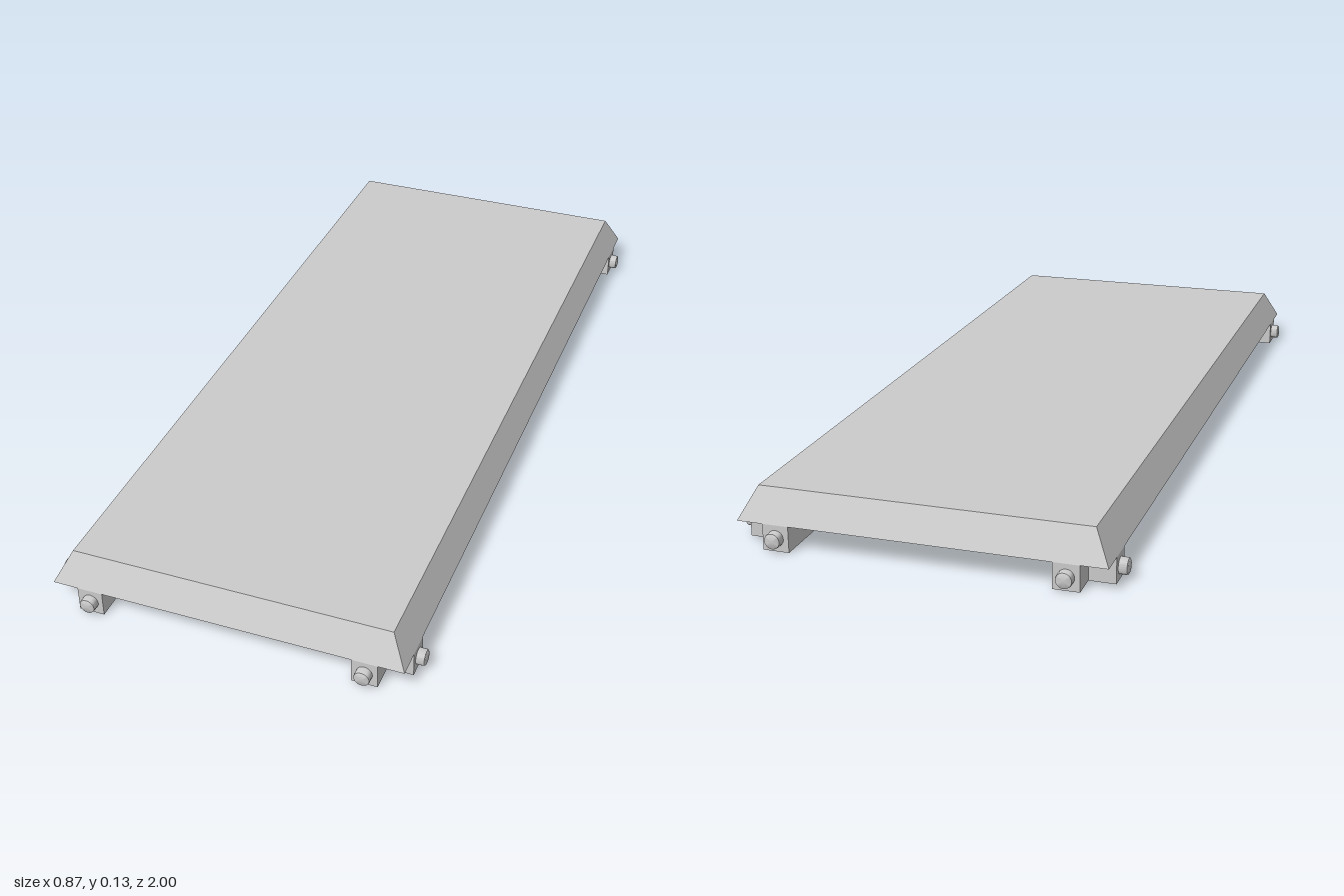
import * as THREE from 'three';
import { toCreasedNormals } from 'three/addons/utils/BufferGeometryUtils.js';

const flat = new THREE.MeshStandardMaterial({ color: 0xcccccc, flatShading: true });
const smooth = new THREE.MeshStandardMaterial({ color: 0xcccccc });

function part(name, geometry, material = flat) {
  const mesh = new THREE.Mesh(geometry, material);
  mesh.name = name;
  return mesh;
}

// Outline in x/z with cut corners; a cut of 0 gives a plain rectangle
function outline(y, x, z, cutX = 0, cutZ = 0) {
  const corners = cutX
    ? [[x, z - cutZ], [x, -z + cutZ], [x - cutX, -z], [-x + cutX, -z],
       [-x, -z + cutZ], [-x, z - cutZ], [-x + cutX, z], [x - cutX, z]]
    : [[x, z], [x, -z], [-x, -z], [-x, z]];
  return corners.map(([px, pz]) => [px, y, pz]);
}

// Joins successive outlines with flat facets, optionally closing both ends
function loft(rings, capped) {
  const out = [];
  const n = rings[0].length;
  for (let r = 0; r < rings.length - 1; r++) {
    for (let i = 0; i < n; i++) {
      const j = (i + 1) % n;
      const a = rings[r][i], b = rings[r][j], c = rings[r + 1][j], d = rings[r + 1][i];
      out.push(...a, ...b, ...c, ...a, ...c, ...d);
    }
  }
  if (capped) {
    const first = rings[0], last = rings[rings.length - 1];
    for (let i = 1; i < n - 1; i++) {
      out.push(...first[0], ...first[i + 1], ...first[i]);
      out.push(...last[0], ...last[i], ...last[i + 1]);
    }
  }
  const g = new THREE.BufferGeometry();
  g.setAttribute('position', new THREE.Float32BufferAttribute(out, 3));
  g.computeVertexNormals();
  return g;
}

// L-shaped corner foot: its elbow points inward, leaving a notch at the corner
function footGeometry() {
  const L = [[-0.12, 0.12], [0, 0.12], [0, 0.06], [-0.06, 0.06], [-0.06, 0], [-0.12, 0]];
  const shape = new THREE.Shape(L.map(([x, y]) => new THREE.Vector2(x, y)));
  return new THREE.ExtrudeGeometry(shape, { depth: 0.06, bevelEnabled: false })
    .rotateX(-Math.PI / 2);
}

// Short bolt head with a softened rim, pointing along +y
function boltGeometry() {
  const profile = [[0.0185, -0.002], [0.0185, 0.015], [0.0175, 0.0185], [0.015, 0.02], [0, 0.02]];
  const g = new THREE.LatheGeometry(profile.map(([x, y]) => new THREE.Vector2(x, y)), 24);
  return toCreasedNormals(g, 0.6);
}

export function createModel() {
  const model = new THREE.Group();
  model.name = 'coverPlate';

  // Slab with sloping sides
  model.add(part('slab', loft([outline(0.06, 0.415, 0.98), outline(0.133, 0.378, 0.943)], true)));

  // Raised eight-sided rim on the underside
  model.add(part('undersideRim', loft([
    outline(0.06, 0.107, 0.387, 0.045, 0.045),
    outline(0.022, 0.118, 0.398, 0.05, 0.05),
    outline(0.022, 0.148, 0.428, 0.062, 0.075),
    outline(0.06, 0.185, 0.465, 0.094, 0.095),
  ])));

  // Corner feet, each with two bolts
  const foot = footGeometry();
  const bolt = boltGeometry();
  [[1, 1], [1, -1], [-1, -1], [-1, 1]].forEach(([sx, sz], i) => {
    const corner = new THREE.Group();
    corner.name = 'cornerFoot' + (i + 1);
    corner.position.set(sx * 0.415, 0, sz * 0.98);
    corner.rotation.y = i * Math.PI / 2;
    const boltZ = part('boltA', bolt, smooth);
    boltZ.rotation.x = Math.PI / 2;
    boltZ.position.set(-0.09, 0.03, 0);
    const boltX = part('boltB', bolt, smooth);
    boltX.rotation.z = -Math.PI / 2;
    boltX.position.set(0, 0.03, -0.09);
    corner.add(part('bracket', foot), boltZ, boltX);
    model.add(corner);
  });

  return model;
}
